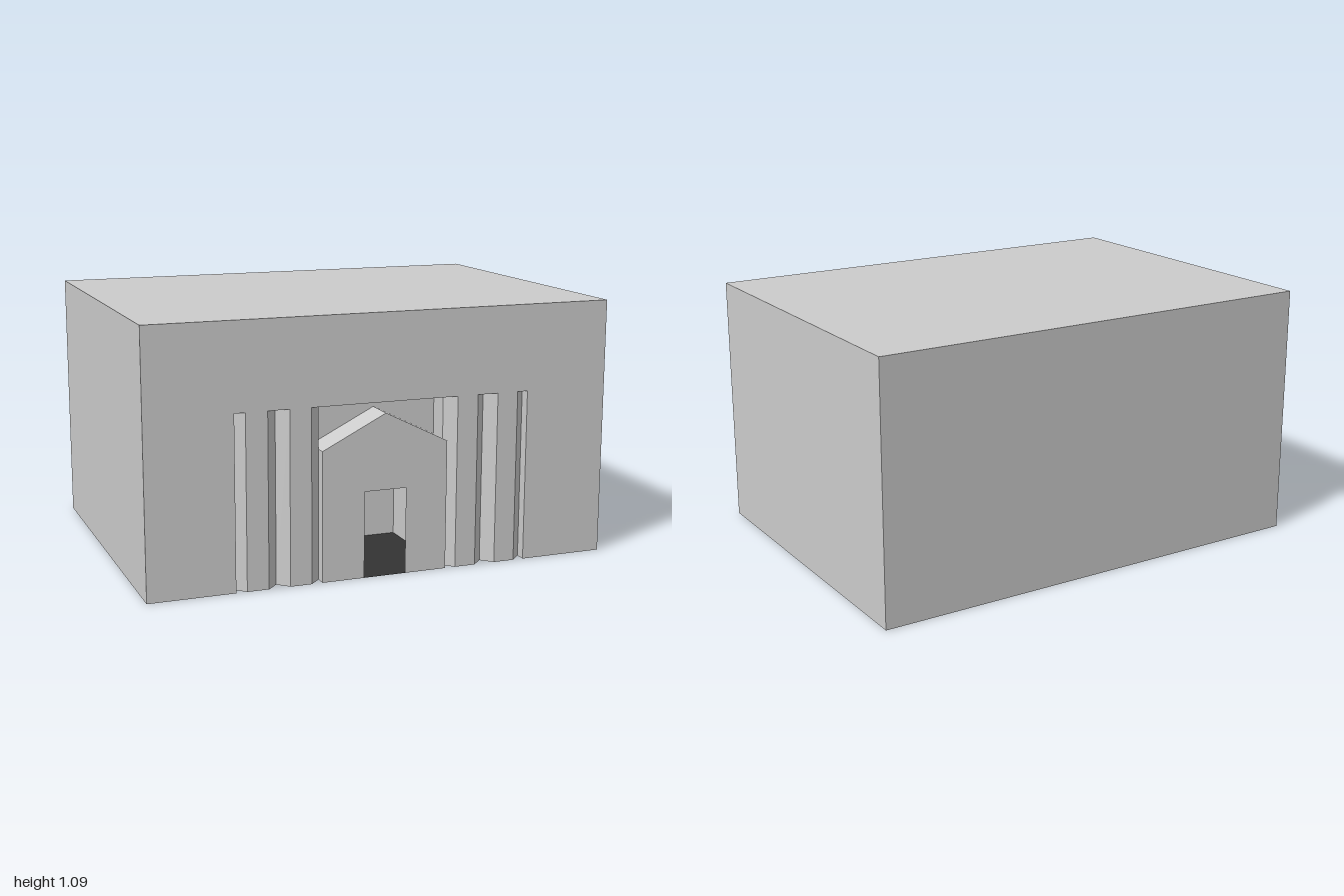
import * as THREE from 'three';
import { mergeGeometries } from 'three/addons/utils/BufferGeometryUtils.js';

const U = 1 / 22; // modelling unit: the block is 44 x 24 x 32 units

export function createModel() {
  const group = new THREE.Group();
  const stone = new THREE.MeshStandardMaterial({ color: 0xcccccc });
  stone.name = 'pale grey stone';
  const dark = new THREE.MeshStandardMaterial({ color: 0x333333, side: THREE.DoubleSide });
  dark.name = 'dark floor';

  const add = (name, geometries, material = stone) => {
    const geometry = mergeGeometries(geometries.map((g) => g.toNonIndexed()));
    geometry.scale(U, U, U);
    const mesh = new THREE.Mesh(geometry, material);
    mesh.name = name;
    group.add(mesh);
  };

  // Flat four-cornered face, corners counter-clockwise from its front
  const quad = (a, b, c, d) => {
    const g = new THREE.BufferGeometry();
    g.setAttribute('position', new THREE.Float32BufferAttribute([...a, ...b, ...c, ...d], 3));
    g.setAttribute('uv', new THREE.Float32BufferAttribute([0, 0, 1, 0, 1, 1, 0, 1], 2));
    g.setIndex([0, 1, 2, 0, 2, 3]);
    g.computeVertexNormals();
    return g;
  };

  // Upright walls along an [x, z] path; a path running to +x faces +z
  const walls = (path, y0, y1) => path.slice(1).map(([x, z], i) => {
    const [px, pz] = path[i];
    return quad([px, y0, pz], [x, y0, z], [x, y1, z], [px, y1, pz]);
  });

  // Flat outline facing +z at depth z, and one in plan facing down at height y
  const outline = (points) =>
    new THREE.ShapeGeometry(new THREE.Shape(points.map(([x, y]) => new THREE.Vector2(x, y))));
  const upright = (points, z) => outline(points).translate(0, 0, z);
  const soffit = (points, y) => outline(points).rotateX(Math.PI / 2).translate(0, y, 0);

  // Outer block
  add('outerWalls', walls([[22, 16], [22, -16], [-22, -16], [-22, 16]], 0, 24));
  add('top', [quad([-22, 24, 16], [22, 24, 16], [22, 24, -16], [-22, 24, -16])]);
  add('underside', [soffit([[-22, -16], [22, -16], [22, 16], [6, 16], [6, 4],
    [-6, 4], [-6, 16], [-22, 16]], 0)]);

  // Front with tall slots cut up from the ground
  const slots = [[-14, -13], [-11, -9], [-7, 7], [9, 11], [13, 14]];
  const front = [[-22, 0]];
  for (const [l, r] of slots) front.push([l, 0], [l, 16], [r, 16], [r, 0]);
  front.push([22, 0], [22, 24], [-22, 24]);
  add('front', [upright(front, 16)]);

  // V-shaped grooves between the pilasters
  const grooves = [
    [[-14, 16], [-14, 15], [-13, 16]],
    [[-11, 16], [-10, 15], [-9, 16]],
    [[9, 16], [10, 15], [11, 16]],
    [[13, 16], [14, 15], [14, 16]],
  ];
  for (const path of grooves) add('pilasterGroove', [...walls(path, 0, 16), soffit(path, 16)]);

  // Central niche around the gabled porch
  add('niche', [
    ...walls([[-7, 16], [-6, 15]], 0, 16),
    ...walls([[6, 15], [7, 16]], 0, 16),
    ...walls([[-6, 15], [-6, 13]], 12, 16),
    ...walls([[6, 13], [6, 15]], 12, 16),
    upright([[-6, 12], [0, 15], [6, 12], [6, 16], [-6, 16]], 13),
    soffit([[-7, 16], [-6, 15], [-6, 13], [6, 13], [6, 15], [7, 16]], 16),
  ]);

  // Gabled porch front with its doorway, and the short outer returns
  add('porchFront', [
    upright([[-6, 0], [-2, 0], [-2, 8], [2, 8], [2, 0], [6, 0], [6, 12], [0, 15], [-6, 12]], 16),
    ...walls([[-6, 15], [-6, 16]], 0, 12),
    ...walls([[6, 16], [6, 15]], 0, 12),
  ]);

  // Roof slopes, seen from above in the niche and from below in the room
  for (const s of [-1, 1]) {
    const c = [[0, 15, 16], [6 * s, 12, 16], [6 * s, 12, 4], [0, 15, 4]];
    add('roofSlope', [quad(...c), quad(...c.slice().reverse())]);
  }

  // Room behind the doorway
  add('roomWalls', [
    ...walls([[-6, 16], [-6, 4]], 0, 12),
    ...walls([[6, 4], [6, 16]], 0, 12),
    upright([[-6, 0], [6, 0], [6, 12], [0, 15], [-6, 12]], 4),
  ]);
  add('roomFloor', [soffit([[-6, 4], [6, 4], [6, 16], [-6, 16]], 0)], dark);

  return group;
}
